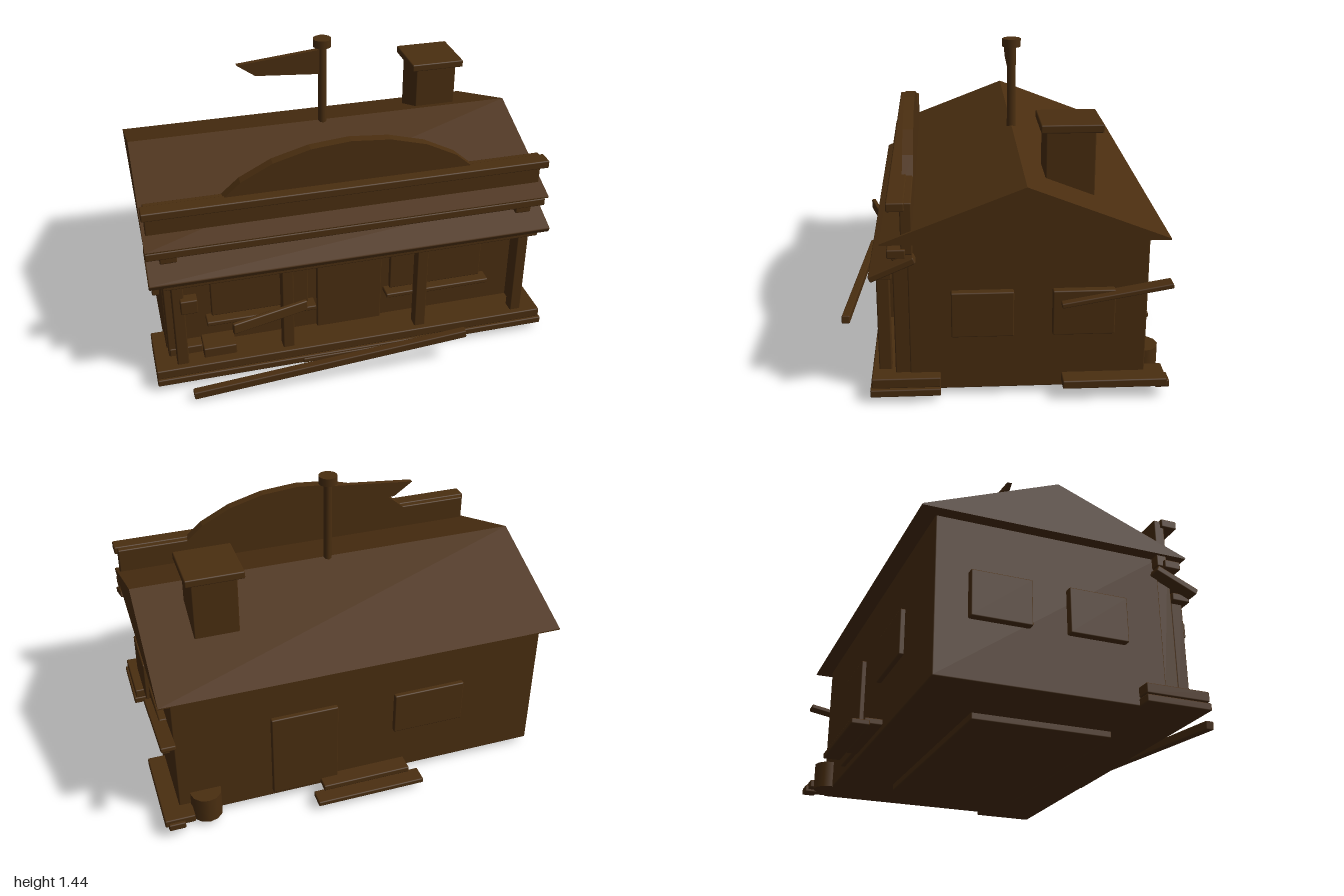
import * as THREE from 'three';
import { RoundedBoxGeometry } from 'three/addons/geometries/RoundedBoxGeometry.js';

export function createModel() {
  const model = new THREE.Group();
  model.name = 'frontierHouse';
  const wood = new THREE.MeshStandardMaterial({ color: 0x4a2e10 });
  wood.name = 'brown wood';

  const add = (name, geometry) => {
    const mesh = new THREE.Mesh(geometry, wood);
    mesh.name = name;
    model.add(mesh);
    return mesh;
  };
  // Box given by its extents, with slightly eased edges
  const box = (name, x0, x1, y0, y1, z0, z1) => {
    const s = [x1 - x0, y1 - y0, z1 - z0];
    const mesh = add(name, new RoundedBoxGeometry(...s, 1, Math.min(0.006, Math.min(...s) / 4)));
    mesh.position.set((x0 + x1) / 2, (y0 + y1) / 2, (z0 + z1) / 2);
    return mesh;
  };
  // Two boxes mirrored about the house's centre line
  const MID = -0.01;
  const pair = (name, a, b, ...rest) => {
    box(name + 'Left', MID + a, MID + b, ...rest);
    box(name + 'Right', MID - b, MID - a, ...rest);
  };
  // Flat outline extruded by depth
  const extrude = (name, points, depth) => add(name, new THREE.ExtrudeGeometry(
    new THREE.Shape(points.map(p => new THREE.Vector2(...p))), { depth, bevelEnabled: false }));
  const cylinder = (name, r, y0, y1, x, z, sides) => {
    const mesh = add(name, new THREE.CylinderGeometry(r, r, y1 - y0, sides));
    mesh.position.set(x, (y0 + y1) / 2, z);
  };

  // Foundation and walls
  box('foundation', -0.6, 0.565, 0, 0.035, -0.335, 0.335);
  box('walls', -0.93, 0.91, 0.03, 0.757, -0.622, 0.43);

  // Gable roof
  const roof = extrude('gableRoof', [[-0.545, 0.752], [0.7, 0.752], [0.7, 0.758], [0.08, 1], [-0.545, 0.758]], 1.96);
  roof.rotation.y = Math.PI / 2;
  roof.position.x = -0.99;

  // Chimney
  box('chimney', 0.52, 0.735, 0.8, 1.18, -0.4, -0.18);
  box('chimneyCap', 0.49, 0.765, 1.17, 1.207, -0.43, -0.155);

  // Flagpole and pennant
  cylinder('flagpole', 0.022, 0.97, 1.4, -0.012, -0.08, 8);
  cylinder('flagpoleCap', 0.046, 1.4, 1.44, -0.012, -0.08, 12);
  const flag = extrude('pennant', [[-0.44, 1.347], [-0.35, 1.283], [-0.02, 1.257], [-0.02, 1.387]], 0.025);
  flag.position.z = -0.0925;

  // False front with arched crest
  box('falseFront', -0.975, 0.955, 0.7, 0.935, 0.405, 0.455);
  const arch = [];
  for (let i = -4; i <= 4; i++) {
    const a = i * Math.PI / 12;
    arch.push([MID + 0.735 * Math.sin(a), 0.66 + 0.49 * Math.cos(a)]);
  }
  const crest = extrude('archedCrest', arch.reverse(), 0.05);
  crest.position.z = 0.405;
  box('frontCornice', -0.99, 0.97, 0.9, 0.94, 0.435, 0.512);
  box('frontMoulding', -0.99, 0.97, 0.69, 0.73, 0.435, 0.515);
  pair('bracket', 0.835, 0.915, 0.655, 0.752, 0.43, 0.5);

  // Porch roof, beam, posts and floor
  const porchRoof = box('porchRoof', -0.99, 0.97, 0.622, 0.652, 0.388, 0.602);
  porchRoof.rotation.x = 0.41;
  box('porchBeam', -0.93, 0.91, 0.568, 0.605, 0.5, 0.588);
  pair('outerPost', 0.826, 0.882, 0.11, 0.575, 0.512, 0.57);
  pair('innerPost', 0.308, 0.364, 0.11, 0.575, 0.512, 0.57);
  pair('cornerPilaster', 0.855, 0.915, 0.1, 0.755, 0.42, 0.495);
  box('porchFloor', -0.995, 0.965, 0.068, 0.115, 0.295, 0.6);
  box('porchBase', -0.995, 0.975, 0.03, 0.065, 0.295, 0.607);
  box('frontStep', -0.285, 0.26, 0.03, 0.056, 0.55, 0.612);

  // Front door and windows
  box('frontDoor', -0.175, 0.155, 0.11, 0.55, 0.42, 0.45);
  pair('frontWindow', 0.21, 0.69, 0.28, 0.53, 0.42, 0.45);
  pair('frontSill', 0.18, 0.72, 0.258, 0.282, 0.42, 0.5);

  // Side windows
  pair('sideFrontWindow', 0.9, 0.955, 0.3, 0.512, -0.03, 0.245);
  pair('sideBackWindow', 0.9, 0.955, 0.3, 0.512, -0.475, -0.2);

  // Back door, window and steps
  box('backDoor', 0.12, 0.45, 0.06, 0.51, -0.645, -0.61);
  box('backWindow', -0.53, -0.17, 0.28, 0.5, -0.645, -0.61);
  box('backUpperStep', -0.235, 0.21, 0.055, 0.085, -0.705, -0.61);
  box('backLowerStep', -0.285, 0.26, 0.03, 0.056, -0.775, -0.69);

  // Ledge, stump and loose plank at the back corner
  box('sideLedge', 0.85, 0.995, 0.058, 0.097, -0.71, -0.245);
  box('ledgeFoot', 0.9, 0.98, 0.045, 0.08, -0.725, -0.66);
  cylinder('stump', 0.075, 0.03, 0.162, 0.78, -0.63, 12);
  const sidePlank = box('sidePlank', 0.91, 0.98, 0.485, 0.508, -0.725, -0.232);
  sidePlank.rotation.x = 0.173;

  // Lantern, crates and loose boards at the front
  box('porchLantern', -0.857, -0.777, 0.427, 0.5, 0.54, 0.6);
  box('crate', -0.76, -0.6, 0.11, 0.165, 0.43, 0.55);
  box('lowCrate', -0.92, -0.76, 0.11, 0.155, 0.43, 0.5);
  const board = box('crossBoard', -0.637, -0.253, 0.335, 0.39, 0.615, 0.638);
  board.rotation.y = 0.25;
  const plank = box('fallenPlank', -0.842, 0.502, 0.083, 0.123, 0.703, 0.743);
  plank.rotation.set(0, -0.041, 0.11);

  return model;
}
